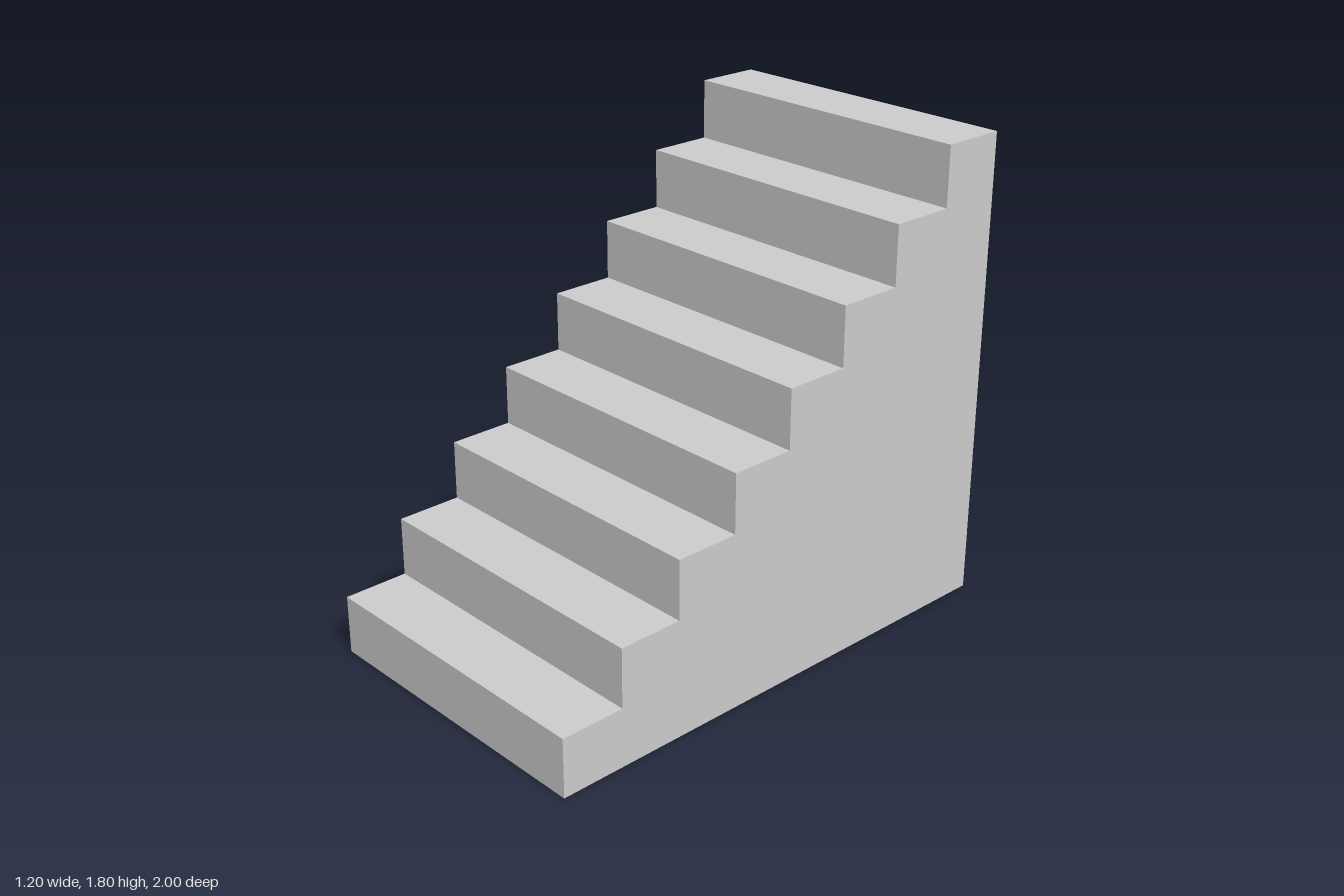
import * as THREE from 'three';

const STEPS = 8;
const WIDTH = 1.2;
const HEIGHT = 1.8;
const DEPTH = 2;

export function createModel() {
  const group = new THREE.Group();
  group.name = 'staircase';

  // Side profile: shape x is depth, rising from the front to the back
  const rise = HEIGHT / STEPS;
  const run = DEPTH / STEPS;
  const profile = new THREE.Shape();
  profile.moveTo(-DEPTH / 2, 0);
  profile.lineTo(DEPTH / 2, 0);
  for (let i = 0; i < STEPS; i++) {
    const y = (i + 1) * rise;
    profile.lineTo(DEPTH / 2 - i * run, y);
    profile.lineTo(DEPTH / 2 - (i + 1) * run, y);
  }
  profile.closePath();

  // Solid flight, extruded across the width and turned to face the front
  const geometry = new THREE.ExtrudeGeometry(profile, { depth: WIDTH, bevelEnabled: false });
  geometry.translate(0, 0, -WIDTH / 2);
  geometry.rotateY(-Math.PI / 2);

  const material = new THREE.MeshStandardMaterial({ color: 0xcccccc, flatShading: true });
  const steps = new THREE.Mesh(geometry, material);
  steps.name = 'steps';
  group.add(steps);
  return group;
}
